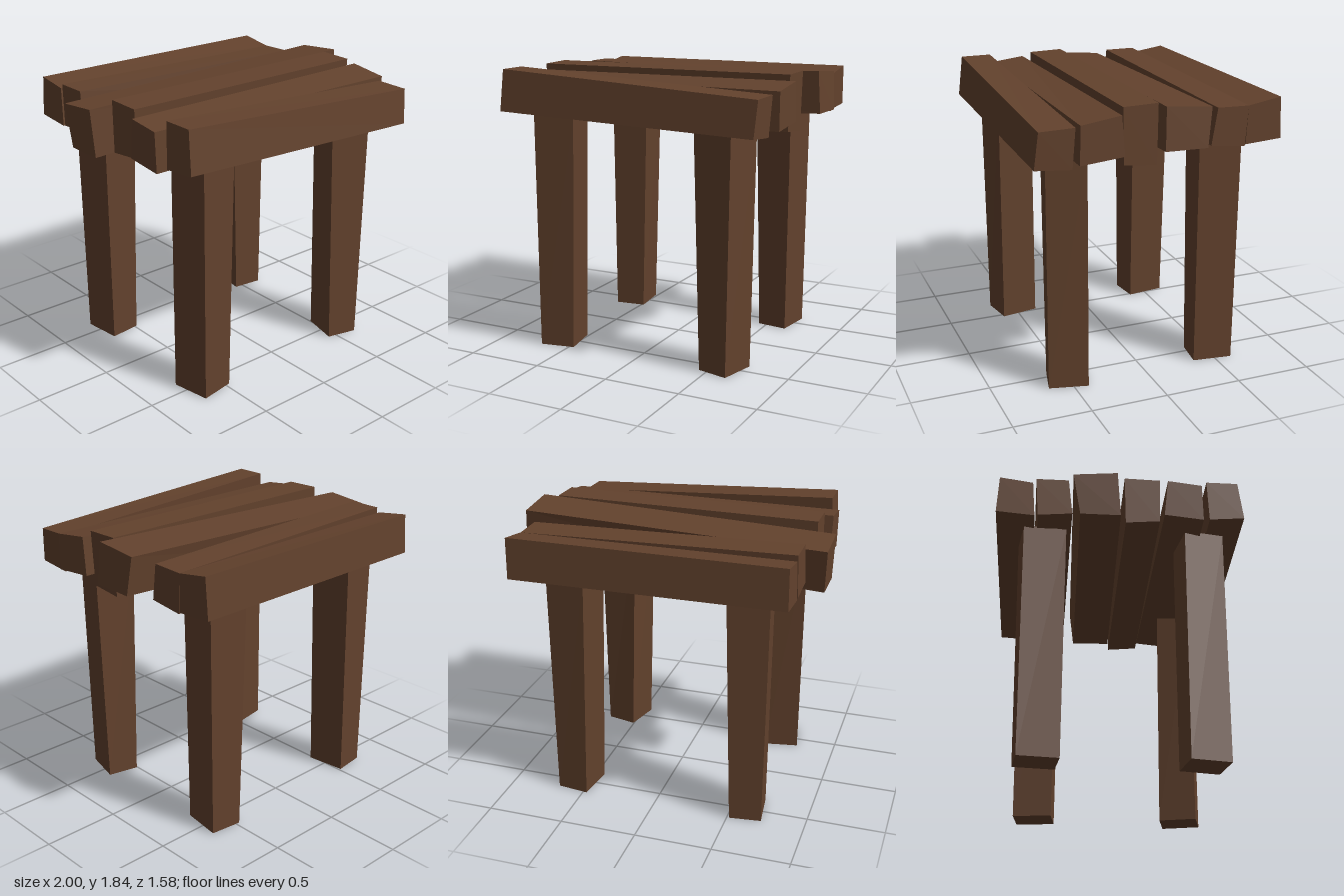
import * as THREE from 'three';

// Six-sided block between two quads, each listed counter-clockwise seen from end b
function block(a, b) {
  const pos = [];
  const quad = (p, q, r, s) => [p, q, r, p, r, s].forEach((v) => pos.push(...v));
  for (let i = 0; i < 4; i++) {
    const j = (i + 1) % 4;
    quad(a[i], a[j], b[j], b[i]);
  }
  quad(...b);
  quad(a[3], a[2], a[1], a[0]);
  const g = new THREE.BufferGeometry();
  g.setAttribute('position', new THREE.Float32BufferAttribute(pos, 3));
  g.computeVertexNormals();
  return g;
}

// Plank end sections as [z, y]: top front, bottom front, bottom back, top back
// x holds the end positions at the top and bottom edges
const PLANKS = [
  { x: [-0.87, 0.88, -0.88, 0.865],
    l: [[0.74, 1.83], [0.77, 1.565], [0.55, 1.545], [0.54, 1.83]],
    r: [[0.765, 1.735], [0.79, 1.51], [0.56, 1.49], [0.545, 1.74]] },
  { x: [-0.925, 0.92, -0.92, 0.92],
    l: [[0.5, 1.765], [0.505, 1.515], [0.26, 1.54], [0.285, 1.79]],
    r: [[0.53, 1.76], [0.535, 1.525], [0.26, 1.55], [0.28, 1.795]] },
  { x: [-0.875, 0.875, -0.875, 0.865],
    l: [[0.24, 1.825], [0.235, 1.52], [0.02, 1.5], [0.015, 1.83]],
    r: [[0.255, 1.83], [0.245, 1.48], [0.035, 1.46], [0.035, 1.835]] },
  { x: [-1, 0.975, -0.985, 0.995],
    l: [[-0.04, 1.78], [-0.02, 1.48], [-0.27, 1.48], [-0.315, 1.755]],
    r: [[0.03, 1.835], [0.04, 1.575], [-0.23, 1.57], [-0.26, 1.81]] },
  { x: [-0.87, 0.875, -0.875, 0.87],
    l: [[-0.34, 1.8], [-0.315, 1.55], [-0.53, 1.53], [-0.545, 1.8]],
    r: [[-0.35, 1.77], [-0.315, 1.54], [-0.54, 1.515], [-0.555, 1.765]] },
  { x: [-0.87, 0.875, -0.875, 0.87],
    l: [[-0.565, 1.77], [-0.55, 1.525], [-0.79, 1.545], [-0.775, 1.8]],
    r: [[-0.555, 1.765], [-0.545, 1.525], [-0.785, 1.54], [-0.77, 1.8]] },
];

// Leg sections as [x, z]: front left, front right, back right, back left on plan
const LEGS = [
  { name: 'frontLeftLeg',
    foot: [[0.445, 0.605], [0.645, 0.655], [0.705, 0.41], [0.505, 0.365]],
    top: [[0.4, 0.6], [0.67, 0.66], [0.735, 0.42], [0.465, 0.37]] },
  { name: 'frontRightLeg',
    foot: [[-0.695, 0.655], [-0.47, 0.615], [-0.515, 0.365], [-0.74, 0.405]],
    top: [[-0.7, 0.66], [-0.435, 0.615], [-0.48, 0.37], [-0.745, 0.41]] },
  { name: 'backLeftLeg',
    foot: [[0.445, -0.38], [0.645, -0.355], [0.68, -0.61], [0.475, -0.635]],
    top: [[0.405, -0.375], [0.66, -0.345], [0.695, -0.615], [0.435, -0.645]] },
  { name: 'backRightLeg',
    foot: [[-0.69, -0.355], [-0.485, -0.38], [-0.515, -0.635], [-0.72, -0.61]],
    top: [[-0.7, -0.345], [-0.445, -0.375], [-0.475, -0.65], [-0.735, -0.615]] },
];

export function createModel() {
  const model = new THREE.Group();
  model.name = 'woodenStool';
  const wood = new THREE.MeshStandardMaterial({ color: 0x63422d });
  wood.name = 'brown wood';

  const add = (name, a, b) => {
    const mesh = new THREE.Mesh(block(a, b), wood);
    mesh.name = name;
    model.add(mesh);
  };

  // Crooked seat planks, front to back
  PLANKS.forEach(({ x, l, r }, n) => {
    const end = (section, top, bottom) =>
      section.map(([z, y], i) => [i === 0 || i === 3 ? top : bottom, y, z]);
    add(`seatPlank${n + 1}`, end(l, x[0], x[2]), end(r, x[1], x[3]));
  });

  // Slightly twisted, tapering legs
  for (const { name, foot, top } of LEGS) {
    const at = (section, y) => section.map(([x, z]) => [x, y, z]);
    add(name, at(foot, 0), at(top, 1.54));
  }
  return model;
}
